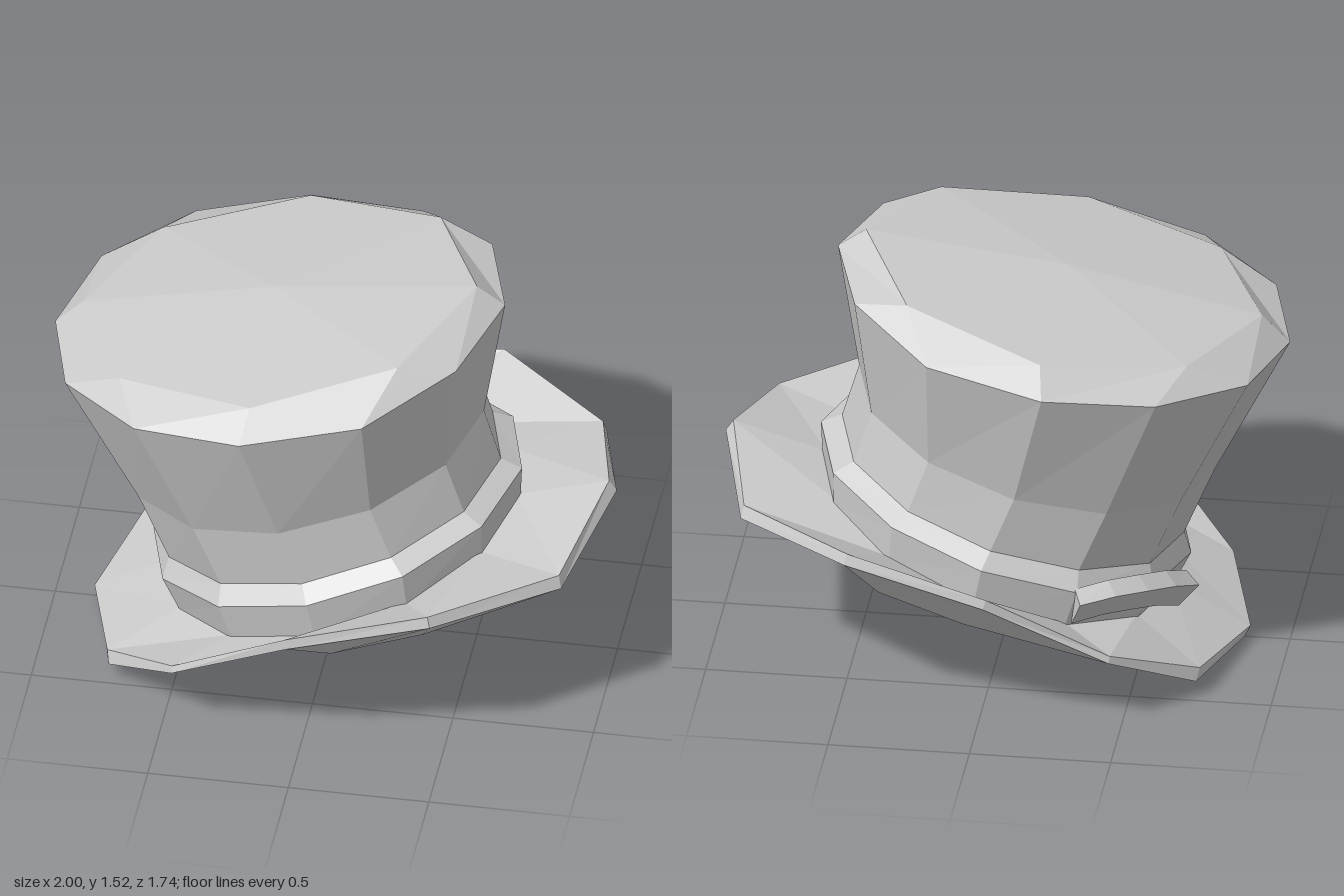
import * as THREE from 'three';

const N = 12;
const material = new THREE.MeshStandardMaterial({ color: 0xcccccc, flatShading: true, side: THREE.DoubleSide });

// Tilted oval ring: heights at its left end, middle and right end; step snaps the angles to fewer corners
function ring(cx, rx, rz, yLow, yMid, yHigh, step = Math.PI / 6) {
  return Array.from({ length: N }, (_, k) => {
    const a = Math.round((k * Math.PI / 6) / step) * step;
    const t = Math.cos(a);
    const y = yMid + (yHigh - yLow) / 2 * t + ((yLow + yHigh) / 2 - yMid) * t * t;
    return new THREE.Vector3(cx + rx * t, y, rz * Math.sin(a));
  });
}

// Ring from half an outline (from +x round to -x), mirrored in z
function mirroredRing(half) {
  return Array.from({ length: N }, (_, k) => {
    const [x, y, z] = half[k <= 6 ? k : N - k];
    return new THREE.Vector3(x, y, k <= 6 ? z : -z);
  });
}

const point = (x, y, z) => Array.from({ length: N }, () => new THREE.Vector3(x, y, z));

// Faceted skin over closed rings, leaving out collapsed triangles
function loft(name, rings) {
  const corners = [];
  const tri = (a, b, c) => {
    if (a.distanceTo(b) > 1e-5 && b.distanceTo(c) > 1e-5 && c.distanceTo(a) > 1e-5) corners.push(a, b, c);
  };
  for (let i = 0; i < rings.length - 1; i++) {
    const lo = rings[i], hi = rings[i + 1], n = lo.length;
    for (let k = 0; k < n; k++) {
      const j = (k + 1) % n;
      tri(lo[k], hi[k], lo[j]);
      tri(lo[j], hi[k], hi[j]);
    }
  }
  const geometry = new THREE.BufferGeometry().setFromPoints(corners);
  geometry.computeVertexNormals();
  const mesh = new THREE.Mesh(geometry, material);
  mesh.name = name;
  return mesh;
}

export function createModel() {
  const hat = new THREE.Group();
  hat.name = 'topHat';

  // Curled brim with a hollow underside
  hat.add(loft('brim', [
    point(0, 0.53, 0),
    mirroredRing([[0.68, 0.455, 0], [0.6, 0.435, 0.3], [0.39, 0.35, 0.5], [0.08, 0.288, 0.58],
      [-0.22, 0.232, 0.5], [-0.41, 0.125, 0.3], [-0.48, 0.065, 0]]),
    mirroredRing([[0.997, 0.69, 0], [0.88, 0.595, 0.475], [0.47, 0.615, 0.81], [-0.03, 0.505, 0.87],
      [-0.46, 0.255, 0.745], [-0.73, 0.06, 0.47], [-0.84, 0, 0]]),
    mirroredRing([[0.97, 0.73, 0], [0.87, 0.64, 0.46], [0.46, 0.655, 0.8], [-0.04, 0.54, 0.865],
      [-0.46, 0.28, 0.735], [-0.74, 0.1, 0.44], [-0.86, 0.045, 0]]),
    ring(0.03, 0.61, 0.62, 0.2, 0.4, 0.63),
  ]));

  // Band around the foot of the crown, bevelled at the top
  hat.add(loft('band', [
    ring(0.035, 0.62, 0.64, 0.19, 0.39, 0.62),
    ring(0.005, 0.655, 0.66, 0.32, 0.545, 0.745),
    ring(-0.02, 0.605, 0.6, 0.4, 0.595, 0.78),
  ]));

  // Flared crown with a bevelled, slightly domed top
  hat.add(loft('crown', [
    ring(-0.02, 0.605, 0.6, 0.4, 0.595, 0.78),
    ring(-0.105, 0.63, 0.61, 0.66, 0.81, 0.98),
    mirroredRing([[0.6, 1.45, 0], [0.49, 1.425, 0.38], [0.2, 1.335, 0.65], [-0.22, 1.28, 0.75],
      [-0.61, 1.235, 0.65], [-0.9, 1.2, 0.38], [-1, 1.18, 0]]),
    ring(-0.2, 0.7, 0.635, 1.28, 1.365, 1.52, Math.PI / 4),
    point(-0.22, 1.43, 0),
  ]));

  // Arched, outward-leaning strip on the back of the band
  const sections = [0, 0.04, 0.05, 0.04, 0].map((rise, i) => {
    const a = THREE.MathUtils.degToRad(197 + i * 11);
    const at = (r, drop) => {
      const x = r * Math.cos(a);
      return new THREE.Vector3(x, 0.345 + rise + 0.27 * (x + 0.7) - drop, r * Math.sin(a));
    };
    const r = 0.74 - i * 0.01;
    return [at(r, 0.035), at(r - 0.05, 0), at(r - 0.13, 0.12), at(r - 0.08, 0.155)];
  });
  const tip = (s) => s.map(() => s.reduce((sum, p) => sum.add(p), new THREE.Vector3()).divideScalar(4));
  hat.add(loft('bandBow', [tip(sections[0]), ...sections, tip(sections[4])]));

  return hat;
}
